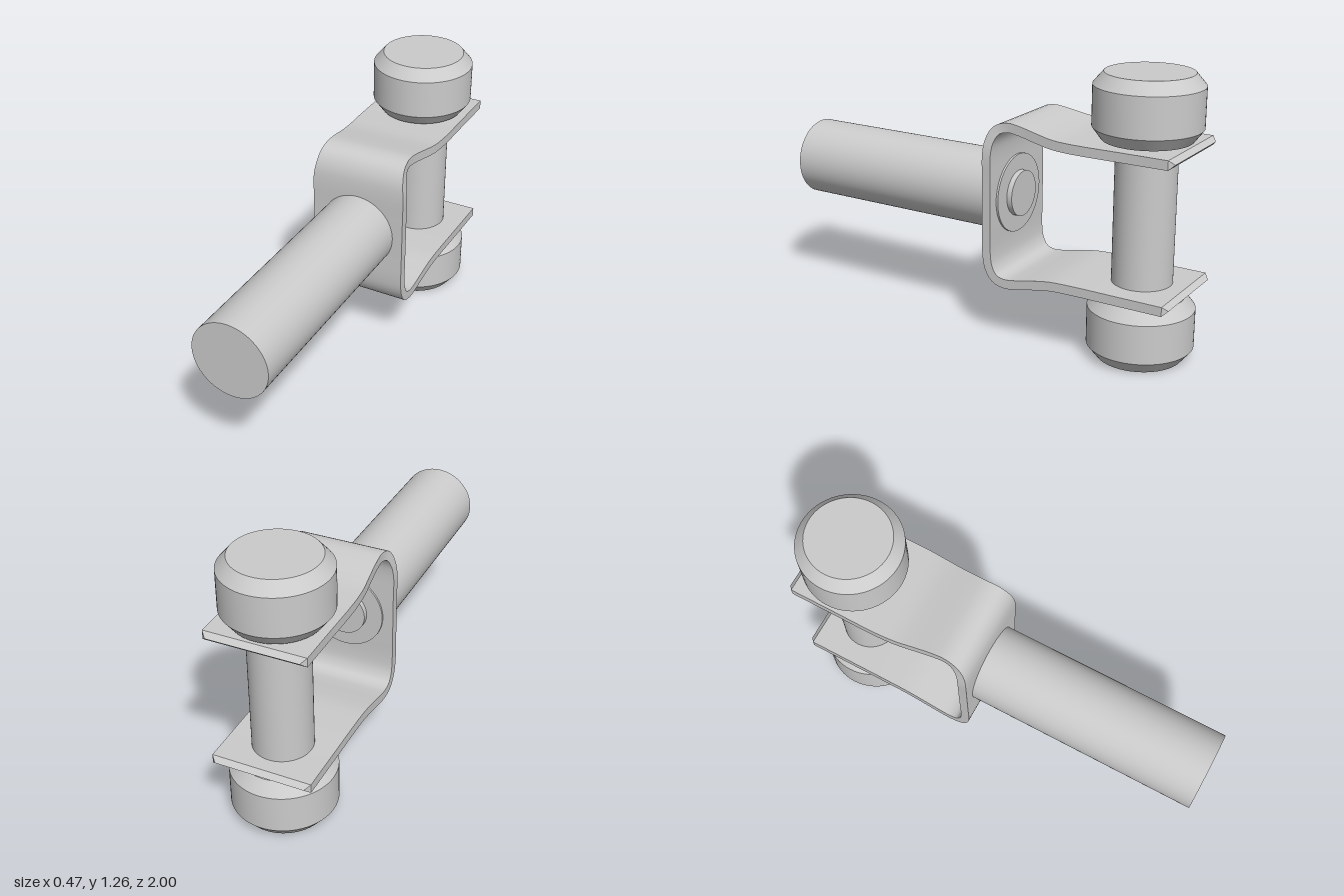
import * as THREE from 'three';
import { toCreasedNormals } from 'three/addons/utils/BufferGeometryUtils.js';

const MID_Y = 0.636; // height of the rod axis and mirror plane of the clevis
const PIN_Z = -0.762;

// Bent strap: a rectangular section swept along the U, with wedge-shaped ends
function strapGeometry() {
  // upper arm, from the tip to the front plate: half width, y, z
  const upper = [
    [0.228, 0.948, -0.96], [0.228, 0.948, -0.75], [0.228, 0.948, -0.53],
    [0.222, 0.952, -0.43], [0.212, 0.967, -0.34], [0.205, 0.983, -0.26],
    [0.203, 0.989, -0.2], [0.209, 0.973, -0.15], [0.219, 0.925, -0.12],
    [0.228, 0.86, -0.11], [0.228, 0.75, -0.11],
  ];
  // the lower arm mirrors the upper one but keeps its full width
  const lower = upper.map(([, y, z]) => [0.228, 2 * MID_Y - y, z]).reverse();
  const curve = new THREE.CatmullRomCurve3([...upper, ...lower].map((p) => new THREE.Vector3(...p)));
  const steps = (upper.length * 2 - 1) * 3;
  const half = 0.021;

  const stations = [];
  for (let i = 0; i <= steps; i++) {
    const p = curve.getPoint(i / steps);
    const t = curve.getTangent(i / steps);
    const len = Math.hypot(t.y, t.z);
    stations.push({ w: p.x, y: p.y, z: p.z, ny: t.z / len, nz: -t.y / len, h: half });
  }
  const tip = (s) => ({ ...s, w: 0.205, z: s.z - 0.022, h: 0 });
  stations.unshift(tip(stations[0]));
  stations.push(tip(stations[stations.length - 1]));

  const positions = [];
  const index = [];
  stations.forEach(({ w, y, z, ny, nz, h }, i) => {
    for (const [sx, sn] of [[-1, 1], [1, 1], [1, -1], [-1, -1]]) {
      positions.push(sx * w, y + sn * h * ny, z + sn * h * nz);
    }
    if (i === stations.length - 1) return;
    for (let k = 0; k < 4; k++) {
      const a = i * 4 + k;
      const b = i * 4 + ((k + 1) % 4);
      index.push(a, a + 4, b, b, a + 4, b + 4);
    }
  });
  const geometry = new THREE.BufferGeometry();
  geometry.setAttribute('position', new THREE.Float32BufferAttribute(positions, 3));
  geometry.setIndex(index);
  return toCreasedNormals(geometry, 0.5);
}

// Round knob with chamfered rims, from a profile of [radius, y]
function knobGeometry(profile) {
  const points = profile.map(([r, y]) => new THREE.Vector2(r, y));
  return toCreasedNormals(new THREE.LatheGeometry(points, 64), 0.4);
}

export function createModel() {
  const group = new THREE.Group();
  const material = new THREE.MeshStandardMaterial({ color: 0xcccccc });
  const add = (name, geometry) => {
    const mesh = new THREE.Mesh(geometry, material);
    mesh.name = name;
    group.add(mesh);
    return mesh;
  };
  // cylinder along z between two depths
  const rodAlongZ = (name, radius, z0, z1) => {
    const rod = add(name, new THREE.CylinderGeometry(radius, radius, z1 - z0, 64));
    rod.rotation.x = Math.PI / 2;
    rod.position.set(0, MID_Y, (z0 + z1) / 2);
  };

  // Rod passing through the front plate, with its stepped end inside
  rodAlongZ('rod', 0.18, -0.14, 1);
  rodAlongZ('rodEndBoss', 0.105, -0.165, -0.13);

  add('clevisStrap', strapGeometry());

  // Cross pin through both arms
  const pin = add('crossPin', new THREE.CylinderGeometry(0.133, 0.133, 0.76, 64));
  pin.position.set(0, MID_Y, PIN_Z);

  // Knobs on the pin ends
  const upperKnob = add('upperKnob', knobGeometry([
    [0, 0.978], [0.195, 0.978], [0.235, 1.032], [0.235, 1.21], [0.19, 1.263], [0, 1.263],
  ]));
  const lowerKnob = add('lowerKnob', knobGeometry([
    [0, 0], [0.19, 0], [0.235, 0.056], [0.235, 0.232], [0.19, 0.289], [0, 0.289],
  ]));
  for (const knob of [upperKnob, lowerKnob]) knob.position.z = PIN_Z;

  return group;
}
